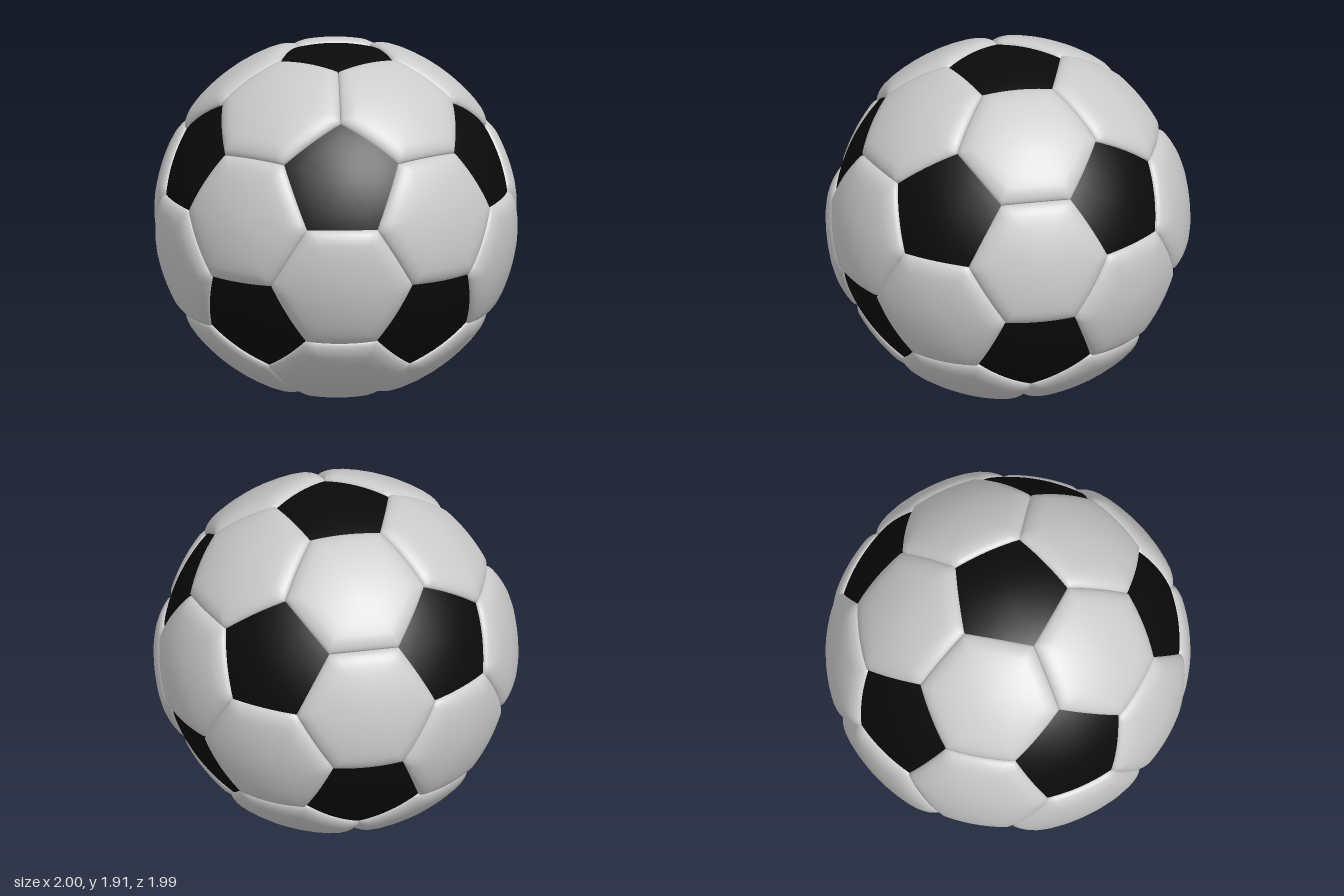
import * as THREE from 'three';

const SEAM_R = 0.957;   // radius of seams and dark panels
const PUFF = 0.045;     // how far the light panels swell outwards
const ROLL = 0.115;     // width of the rounded rim of a light panel
const SIDE_STEPS = 10;
const RINGS = [0.2, 0.4, 0.6, 0.75, 0.82, 0.87, 0.91, 0.94, 0.965, 0.985, 0.995, 1];

// Twelve icosahedron corners, one pointing straight up
function icosahedronCorners() {
  const points = [new THREE.Vector3(0, 1, 0), new THREE.Vector3(0, -1, 0)];
  const y = 1 / Math.sqrt(5);
  for (let i = 0; i < 5; i++) {
    for (const s of [1, -1]) {
      const a = (i * 72 + (s < 0 ? 36 : 0)) * Math.PI / 180;
      points.push(new THREE.Vector3(2 * y * Math.cos(a), s * y, 2 * y * Math.sin(a)));
    }
  }
  return points;
}

// Order corners anticlockwise as seen from outside
function sortAround(corners, normal) {
  const u = corners[0].clone().projectOnPlane(normal).normalize();
  const v = normal.clone().cross(u);
  const angle = p => Math.atan2(p.dot(v), p.dot(u));
  return corners.sort((a, b) => angle(a) - angle(b));
}

// Curved panel: rings growing from the centre to the polygon outline
function panelGeometry(corners, puff) {
  const n = corners.length, around = n * SIDE_STEPS;
  const centre = new THREE.Vector3();
  corners.forEach(c => centre.addScaledVector(c, 1 / n));
  const inradius = corners[0].clone().add(corners[1]).multiplyScalar(0.5).distanceTo(centre);
  const positions = [], index = [];
  const push = (p, t) => {
    const d = Math.min(inradius * (1 - t) / ROLL, 1);
    const r = SEAM_R + puff * Math.sqrt(1 - (1 - d) ** 2);
    positions.push(...p.clone().setLength(r).toArray());
  };
  push(centre, 0);
  RINGS.forEach((t, ring) => {
    for (let j = 0; j < around; j++) {
      const side = Math.floor(j / SIDE_STEPS);
      const p = corners[side].clone().lerp(corners[(side + 1) % n], (j % SIDE_STEPS) / SIDE_STEPS);
      push(centre.clone().lerp(p, t), t);
      const k = (j + 1) % around, outer = 1 + ring * around, inner = outer - around;
      if (ring === 0) index.push(0, outer + j, outer + k);
      else index.push(inner + j, outer + j, outer + k, inner + j, outer + k, inner + k);
    }
  });
  const g = new THREE.BufferGeometry();
  g.setAttribute('position', new THREE.Float32BufferAttribute(positions, 3));
  g.setIndex(index);
  g.computeVertexNormals();
  return g;
}

export function createModel() {
  const ball = new THREE.Group();
  ball.name = 'ball';
  const light = new THREE.MeshStandardMaterial({ color: 0xcccccc });
  const dark = new THREE.MeshStandardMaterial({ color: 0x0a0a0a });
  const V = icosahedronCorners();
  const touching = (a, b) => a !== b && a.dot(b) > 0.4;
  const third = (a, b) => a.clone().lerp(b, 1 / 3);

  const addPanel = (name, corners, normal, puff, material) => {
    const mesh = new THREE.Mesh(panelGeometry(sortAround(corners, normal), puff), material);
    mesh.name = name;
    ball.add(mesh);
  };

  // Dark pentagons, one per icosahedron corner
  V.forEach(v => {
    const corners = V.filter(w => touching(v, w)).map(w => third(v, w));
    addPanel('pentagonPanel', corners, v, 0, dark);
  });

  // Light hexagons, one per icosahedron face
  for (let i = 0; i < 12; i++) for (let j = i + 1; j < 12; j++) for (let k = j + 1; k < 12; k++) {
    const [a, b, c] = [V[i], V[j], V[k]];
    if (!touching(a, b) || !touching(b, c) || !touching(a, c)) continue;
    const normal = a.clone().add(b).add(c).normalize();
    const corners = [third(a, b), third(b, a), third(b, c), third(c, b), third(c, a), third(a, c)];
    addPanel('hexagonPanel', corners, normal, PUFF, light);
  }

  ball.position.y = SEAM_R;
  const model = new THREE.Group();
  model.add(ball);
  return model;
}
